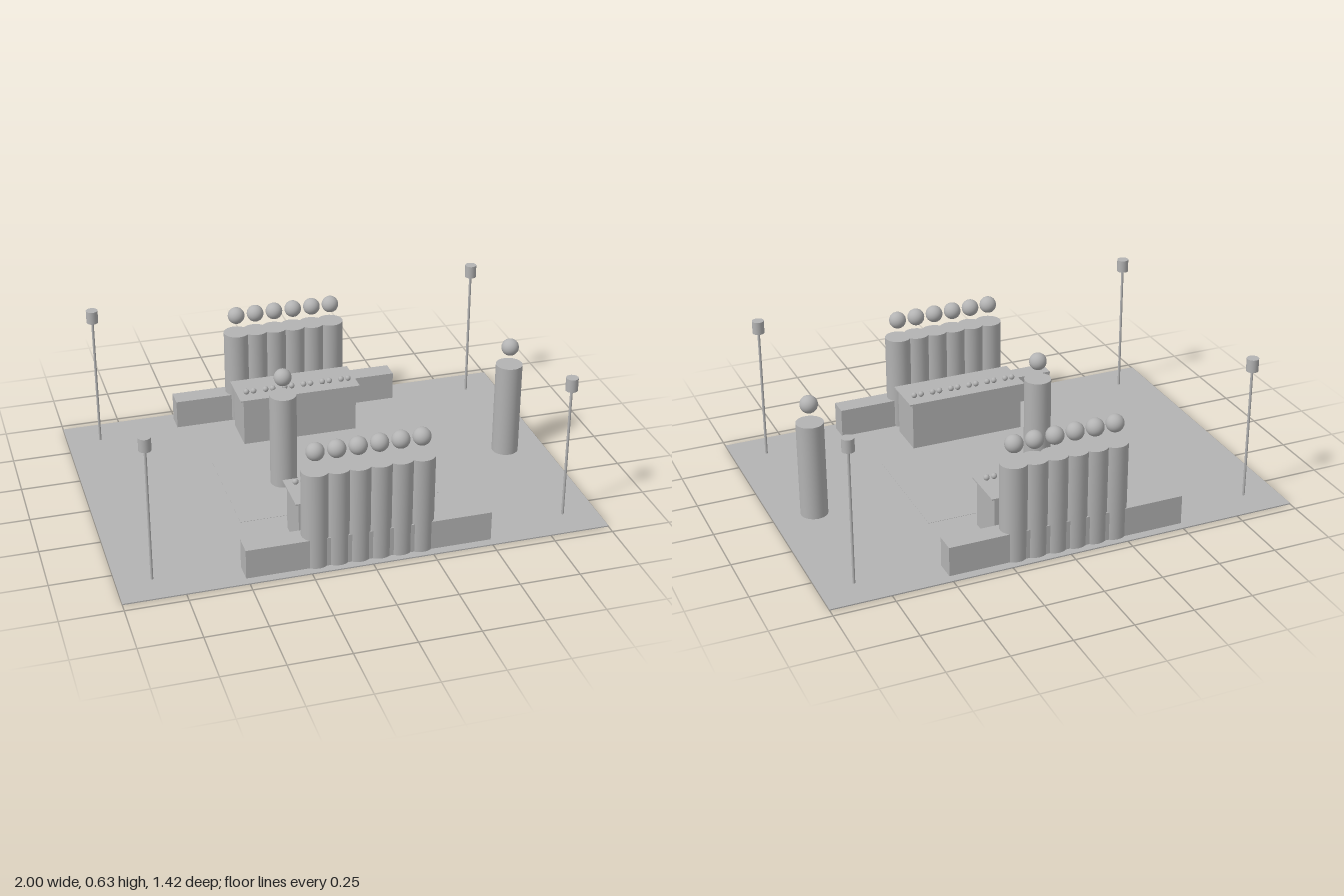
import * as THREE from 'three';

export function createModel() {
  const model = new THREE.Group();
  model.name = 'diningTerrace';
  const grey = new THREE.MeshStandardMaterial({ color: 0xb3b3b3 });
  grey.name = 'plain grey';

  const add = (parent, name, geometry, x, y, z) => {
    const mesh = new THREE.Mesh(geometry, grey);
    mesh.name = name;
    mesh.position.set(x, y, z);
    parent.add(mesh);
    return mesh;
  };
  const group = (name) => {
    const g = new THREE.Group();
    g.name = name;
    model.add(g);
    return g;
  };

  // Shared geometries
  const FLOOR = 0.005;
  const bodyGeo = new THREE.CylinderGeometry(0.057, 0.057, 0.418, 32);
  const headGeo = new THREE.SphereGeometry(0.037, 32, 20);
  const cupGeo = new THREE.SphereGeometry(0.0125, 16, 12);
  const poleGeo = new THREE.CylinderGeometry(0.0055, 0.0055, 0.58, 16);
  const lampGeo = new THREE.CylinderGeometry(0.025, 0.025, 0.055, 24);

  // Thin floor slab, raised rug and centre marker
  add(model, 'floor', new THREE.BoxGeometry(2, FLOOR, 1.422), 0, FLOOR / 2, 0);
  add(model, 'rug', new THREE.BoxGeometry(0.86, 0.001, 0.54), 0, FLOOR + 0.0005, 0);
  add(model, 'centreMarker', new THREE.CylinderGeometry(0.006, 0.006, 0.002, 16), 0, FLOOR + 0.001, 0);

  // Figure: a cylinder body with a head floating above it
  const addFigure = (parent, x, z) => {
    add(parent, 'figureBody', bodyGeo, x, 0.211, z);
    add(parent, 'figureHead', headGeo, x, 0.5, z);
  };

  // Front and back rows: bench, table, seated figures and cup pairs
  for (const side of [1, -1]) {
    const row = group(side > 0 ? 'frontRow' : 'backRow');
    add(row, 'bench', new THREE.BoxGeometry(1.01, 0.128, 0.086), -0.002, 0.067, side * 0.631);
    add(row, 'tableBody', new THREE.BoxGeometry(0.51, 0.213, 0.176), -0.001, 0.1105, side * 0.445);
    add(row, 'tableTop', new THREE.BoxGeometry(0.54, 0.006, 0.197), -0.001, 0.22, side * 0.446);
    for (let i = 0; i < 6; i++) {
      const x = -0.216 + i * 0.086;
      addFigure(row, x, side * 0.629);
      for (const dx of [-0.016, 0.016]) add(row, 'cup', cupGeo, x + dx, 0.24, side * 0.4);
    }
  }

  // Two standing figures on the middle line
  const standing = group('standingFigures');
  for (const x of [-0.174, 0.826]) addFigure(standing, x, 0);

  // Lamp posts near the four corners
  for (const x of [-0.858, 0.856]) {
    for (const z of [-0.573, 0.573]) {
      const post = group('lampPost');
      add(post, 'pole', poleGeo, x, 0.29, z);
      add(post, 'lampHead', lampGeo, x, 0.606, z);
    }
  }
  return model;
}
